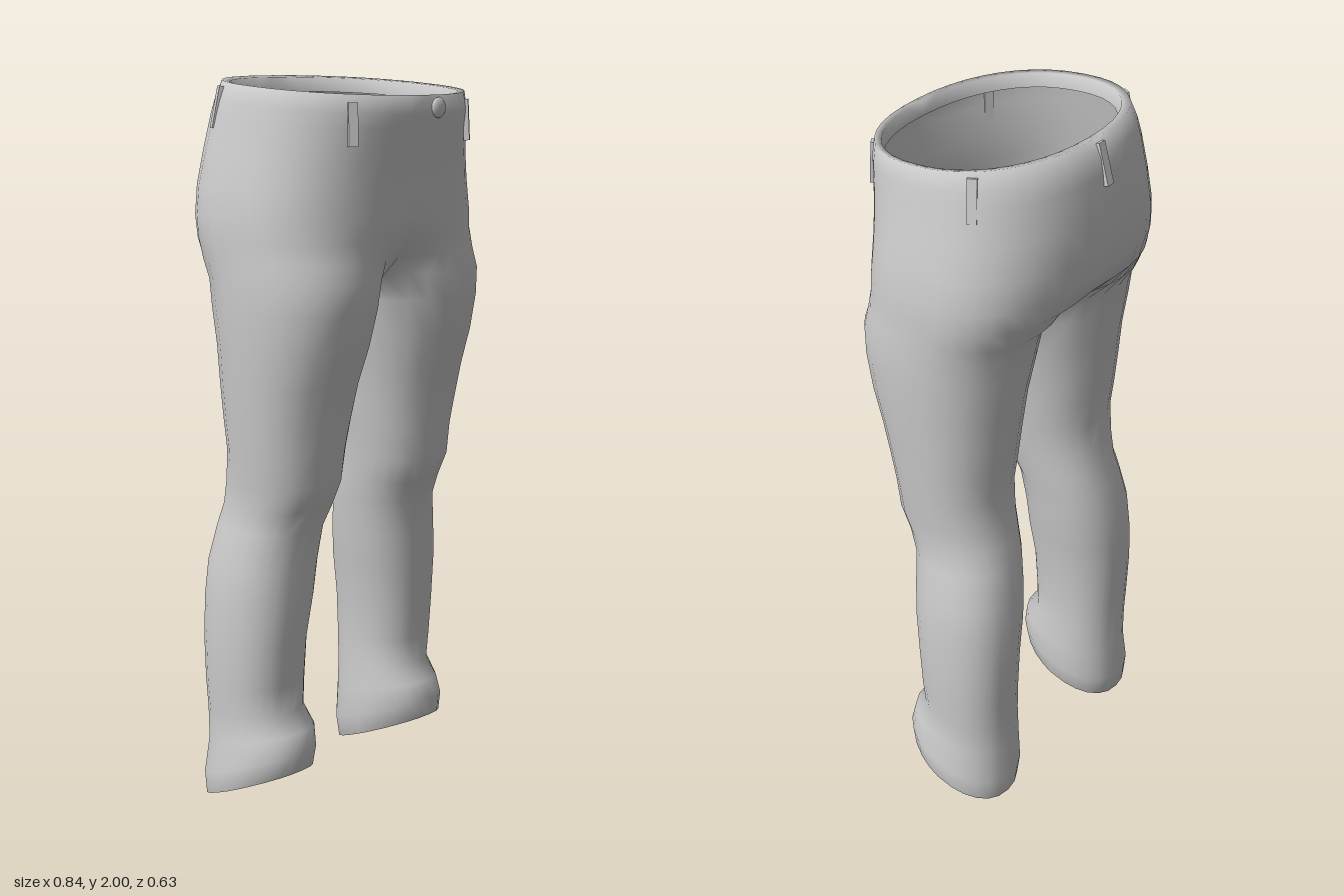
import * as THREE from 'three';
import { mergeVertices } from 'three/addons/utils/BufferGeometryUtils.js';

const OUTER = 20; // columns from front seam round the outside to back seam
const RING = 24; // columns in a whole leg ring
const material = new THREE.MeshStandardMaterial({ color: 0xcccccc, side: THREE.DoubleSide });
const rad = THREE.MathUtils.degToRad;
const pow = (v, e) => Math.sign(v) * Math.abs(v) ** e;

// Waist and hips: y, half width, front z, back z, slope towards the back, squareness
const hips = [
  [1.935, 0.33, 0.275, -0.235, 0.08, 0.9],
  [1.974, 0.335, 0.28, -0.245, 0.08, 0.9],
  [1.977, 0.352, 0.298, -0.268, 0.08, 0.9],
  [1.93, 0.364, 0.303, -0.29, 0.08, 0.9],
  [1.89, 0.371, 0.294, -0.298, 0.07, 0.88],
  [1.8, 0.388, 0.28, -0.309, 0.04, 0.85],
  [1.72, 0.405, 0.268, -0.311, 0, 0.81],
  [1.64, 0.415, 0.264, -0.302, 0, 0.77],
];

// Leg: y, inner x, outer x, front z, back z, slope towards the front, front roundness
const legs = [
  [1.475, 0, 0.418, 0.255, -0.21, 0],
  [1.4, 0.014, 0.417, 0.25, -0.198, 0],
  [1.3, 0.033, 0.41, 0.23, -0.18, 0],
  [1.2, 0.052, 0.402, 0.2, -0.17, 0],
  [1.1, 0.066, 0.393, 0.178, -0.16, 0],
  [1.02, 0.076, 0.386, 0.162, -0.15, 0],
  [0.93, 0.09, 0.376, 0.156, -0.16, 0],
  [0.86, 0.096, 0.37, 0.126, -0.173, 0],
  [0.8, 0.106, 0.378, 0.1, -0.19, 0],
  [0.7, 0.118, 0.4, 0.09, -0.208, 0],
  [0.6, 0.13, 0.408, 0.085, -0.215, 0],
  [0.48, 0.15, 0.41, 0.073, -0.215, 0],
  [0.36, 0.153, 0.408, 0.064, -0.21, 0],
  [0.275, 0.155, 0.4, 0.06, -0.208, 0.05],
  [0.205, 0.147, 0.403, 0.1, -0.21, 0.2],
  [0.125, 0.143, 0.421, 0.112, -0.218, 0.35, 1.05],
  [0.065, 0.153, 0.417, 0.108, -0.212, 0.4, 1.2],
  [0.075, 0.16, 0.41, 0.1, -0.205, 0.4, 1.2],
];
// Sole: the hem edge closing to its middle
const hem = legs[legs.length - 1];
const sole = [hem, [0.085, 0.285, 0.285, -0.05, -0.05, 0.4]];

function hipPoint([y, w, front, back, slope, e], angle) {
  const z = (front + back) / 2 + ((front - back) / 2) * pow(Math.cos(angle), e);
  return new THREE.Vector3(w * pow(Math.sin(angle), e), y - z * slope, z);
}

function hipRow(row) {
  return Array.from({ length: OUTER + 1 }, (_, i) => {
    const p = hipPoint(row, (Math.PI * i) / OUTER);
    if (i === 0 || i === OUTER) p.x = 0;
    return p;
  });
}

function legRow([y, inner, outer, front, back, slope, round = 0.9]) {
  return Array.from({ length: RING + 1 }, (_, i) => {
    const a = rad(-60 + 15 * (i % RING));
    const c = Math.cos(a);
    const z = (front + back) / 2 + ((front - back) / 2) * pow(c, c > 0 ? round : 0.9);
    // the top ring meets its mirror image along the crotch seam
    const onSeam = inner === 0 && (i === 0 || i >= OUTER);
    const x = onSeam ? 0 : (inner + outer) / 2 + ((outer - inner) / 2) * pow(Math.sin(a), 0.9);
    return new THREE.Vector3(x, y + (z + 0.05) * slope, z);
  });
}

// Skins grids of rows, each with its mirror image, into one smooth surface
function skin(...grids) {
  const positions = [], index = [];
  for (const rows of grids)
    for (const side of [1, -1]) {
      const base = positions.length / 3, n = rows[0].length;
      rows.flat().forEach(p => positions.push(p.x * side, p.y, p.z));
      for (let r = 0; r < rows.length - 1; r++)
        for (let i = 0; i < n - 1; i++) {
          const a = base + r * n + i, b = a + n, c = b + 1, d = a + 1;
          if (side > 0) index.push(a, b, c, a, c, d);
          else index.push(a, c, b, a, d, c);
        }
    }
  let geometry = new THREE.BufferGeometry();
  geometry.setAttribute('position', new THREE.Float32BufferAttribute(positions, 3));
  geometry.setIndex(index);
  geometry = mergeVertices(geometry, 1e-4);
  geometry.computeVertexNormals();
  return geometry;
}

function makeTrousers() {
  const legRows = legs.map(legRow);
  const hipRows = hips.map(hipRow);
  // blend the hips into the top of the legs
  const last = hipRows[hipRows.length - 1];
  const crotch = legRows[0].slice(0, OUTER + 1);
  for (const [y, k] of [[1.58, 0.15], [1.525, 0.52]])
    hipRows.push(last.map((p, i) => p.clone().lerp(crotch[i], k).setY(y)));
  hipRows.push(crotch);
  return skin(hipRows, legRows);
}

export function createModel() {
  const model = new THREE.Group();
  model.name = 'trousers';
  const add = (name, geometry) => {
    const mesh = new THREE.Mesh(geometry, material);
    mesh.name = name;
    model.add(mesh);
    return mesh;
  };

  add('trouserBody', makeTrousers());
  add('legSoles', skin(sole.map(legRow)));

  // belt loops round the waistband
  const loopShape = new THREE.BoxGeometry(0.025, 0.11, 0.016);
  for (const [name, degrees, lean] of [
    ['frontLeftLoop', 38, -0.05], ['frontRightLoop', -38, -0.05],
    ['backLeftLoop', 117, -0.2], ['backRightLoop', -117, -0.2], ['backLoop', 180, -0.28],
  ]) {
    const p = hipPoint([1.907, 0.366, 0.302, -0.29, 0.1, 0.9], rad(degrees));
    const loop = add(name, loopShape);
    loop.position.copy(p);
    loop.rotation.order = 'YXZ';
    loop.rotation.y = Math.atan2(p.x / 0.13, p.z / 0.09);
    loop.rotation.x = lean;
  }

  // domed waist button
  const button = add('button', new THREE.SphereGeometry(0.027, 16, 10));
  button.scale.z = 0.4;
  button.position.set(0.04, 1.92, 0.303);

  return model;
}
